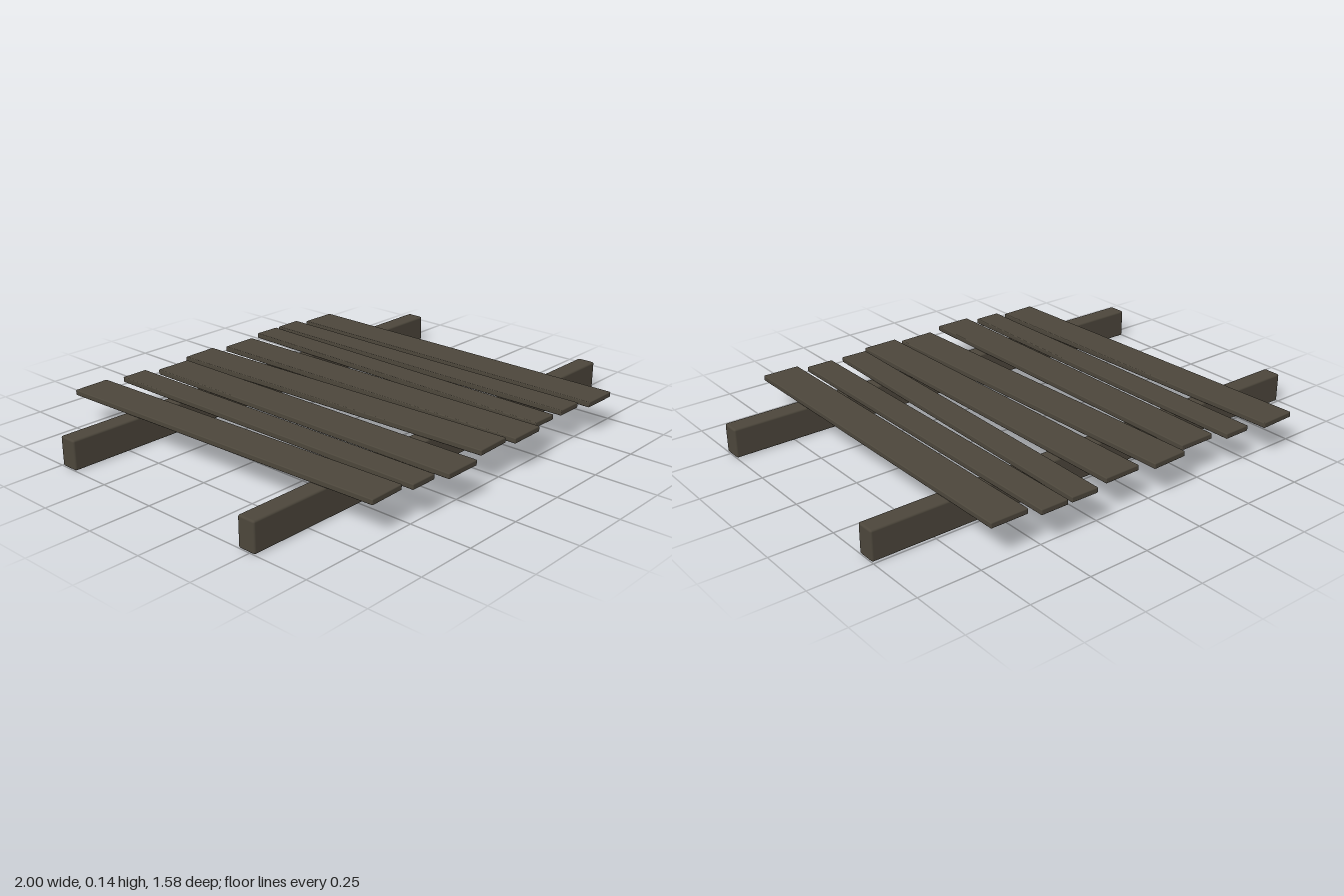
import * as THREE from 'three';
import { RoundedBoxGeometry } from 'three/addons/geometries/RoundedBoxGeometry.js';

export function createModel() {
  const group = new THREE.Group();
  group.name = 'plankWalkway';

  const wood = new THREE.MeshStandardMaterial({ color: 0x4c463b });
  wood.name = 'weatheredWood';

  // Timber with softened edges
  const timber = (name, w, h, d, bevel) => {
    const mesh = new THREE.Mesh(new RoundedBoxGeometry(w, h, d, 2, bevel), wood);
    mesh.name = name;
    group.add(mesh);
    return mesh;
  };

  // Two long beams carrying the deck
  const beamHeight = 0.12;
  for (const [name, z] of [['backBeam', -0.455], ['frontBeam', 0.485]]) {
    timber(name, 2, beamHeight, 0.076, 0.008).position.set(0, beamHeight / 2, z);
  }

  // Uneven deck planks: width, then x and z of the back end and the front end
  const thickness = 0.022;
  const planks = [
    [0.155, -0.638, -0.79, -0.588, 0.723],
    [0.115, -0.44, -0.765, -0.432, 0.75],
    [0.157, -0.265, -0.727, -0.265, 0.787],
    [0.155, -0.087, -0.765, -0.037, 0.749],
    [0.156, 0.118, -0.737, 0.132, 0.778],
    [0.115, 0.317, -0.765, 0.282, 0.75],
    [0.116, 0.45, -0.764, 0.448, 0.753],
    [0.156, 0.612, -0.727, 0.612, 0.787],
  ];
  planks.forEach(([width, x0, z0, x1, z1], i) => {
    const length = Math.hypot(x1 - x0, z1 - z0);
    const plank = timber(`plank${i + 1}`, width, thickness, length, 0.004);
    plank.position.set((x0 + x1) / 2, beamHeight + thickness / 2, (z0 + z1) / 2);
    plank.rotation.y = Math.atan2(x1 - x0, z1 - z0);
  });

  return group;
}
